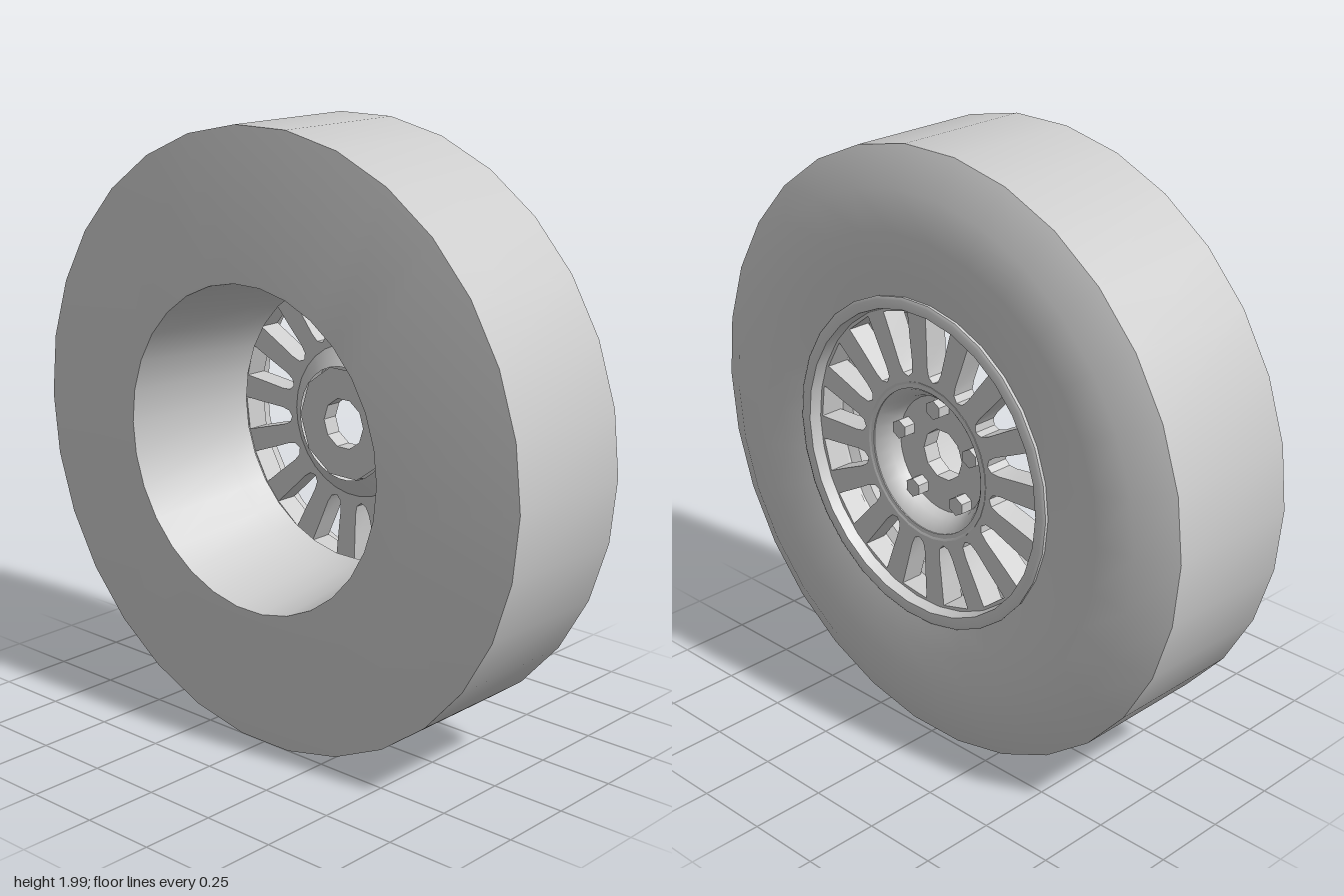
import * as THREE from 'three';
import { toCreasedNormals } from 'three/addons/utils/BufferGeometryUtils.js';

const SIDES = 30, SPOKES = 16, LUGS = 5;

export function createModel() {
  const model = new THREE.Group();
  model.name = 'wheel';
  const grey = new THREE.MeshStandardMaterial({ color: 0xcccccc, side: THREE.DoubleSide });
  grey.name = 'plain grey';

  // Parts are built around +z, then the whole wheel is turned so its outer face points to +x
  const wheel = new THREE.Group();
  wheel.name = 'wheelAssembly';
  wheel.rotation.y = Math.PI / 2;
  wheel.position.y = 1;
  model.add(wheel);

  const add = (name, geometry) => {
    const mesh = new THREE.Mesh(geometry, grey);
    mesh.name = name;
    wheel.add(mesh);
    return mesh;
  };

  // Profile points are [radius, distance along the axle]
  const turned = (name, profile, sides = SIDES, crease = 0.6) => {
    const geo = new THREE.LatheGeometry(profile.map(([r, d]) => new THREE.Vector2(r, d)), sides);
    geo.rotateX(Math.PI / 2);
    geo.rotateZ(Math.PI / 2);
    return add(name, toCreasedNormals(geo, crease));
  };

  // Tyre: sloping back, flat tread, rounded front shoulder
  turned('tyre', [
    [0.525, -0.313], [0.535, -0.313], [1, -0.25], [1, 0.23],
    [0.88, 0.293], [0.75, 0.31], [0.64, 0.305], [0.54, 0.285],
  ]);

  // Rim: raised front lip and a barrel open at the back
  turned('rim', [
    [0.54, 0.27], [0.545, 0.298], [0.535, 0.303], [0.505, 0.3], [0.497, 0.25],
    [0.49, 0.17], [0.462, 0.15], [0.48, 0.05], [0.525, -0.313],
  ]);

  // Spoke ring: a disc pierced by U-shaped windows
  const disc = new THREE.Shape().absarc(0, 0, 0.498, 0, Math.PI * 2);
  disc.holes.push(new THREE.Path().absarc(0, 0, 0.24, 0, Math.PI * 2, true));
  const step = Math.PI * 2 / SPOKES;
  const firstWindow = THREE.MathUtils.degToRad(94) + step / 2;
  const windowOutline = [
    [0.485, -0.056], [0.4, -0.042], [0.32, -0.03], [0.29, -0.02], [0.278, 0],
    [0.29, 0.02], [0.32, 0.03], [0.4, 0.042], [0.485, 0.056],
  ];
  for (let i = 0; i < SPOKES; i++) {
    const a = firstWindow + i * step, c = Math.cos(a), s = Math.sin(a);
    disc.holes.push(new THREE.Path(
      windowOutline.map(([u, v]) => new THREE.Vector2(u * c - v * s, u * s + v * c))
    ));
  }
  const spokes = new THREE.ExtrudeGeometry(disc, { depth: 0.08, bevelEnabled: false, curveSegments: SIDES });
  spokes.translate(0, 0, 0.18);
  add('spokes', toCreasedNormals(spokes, 0.6));

  // Hub: dished bowl around the bolt plate, with an open bore
  turned('hubBowl', [
    [0.19, 0.13], [0.255, 0.18], [0.262, 0.262], [0.235, 0.255], [0.205, 0.215], [0.195, 0.185],
    [0.085, 0.185],
  ], SIDES, 0.8);
  turned('hubBore', [[0.092, 0.187], [0.085, 0.187], [0.085, 0.13], [0.19, 0.13]], 10, 0.3);

  // Hexagonal wheel nuts
  for (let i = 0; i < LUGS; i++) {
    const a = Math.PI / 2 + i * Math.PI * 2 / LUGS;
    const geo = new THREE.CylinderGeometry(0.032, 0.032, 0.045, 6).toNonIndexed();
    geo.computeVertexNormals();
    geo.rotateX(Math.PI / 2);
    geo.translate(Math.cos(a) * 0.165, Math.sin(a) * 0.165, 0.205);
    add('wheelNut', geo);
  }

  return model;
}
